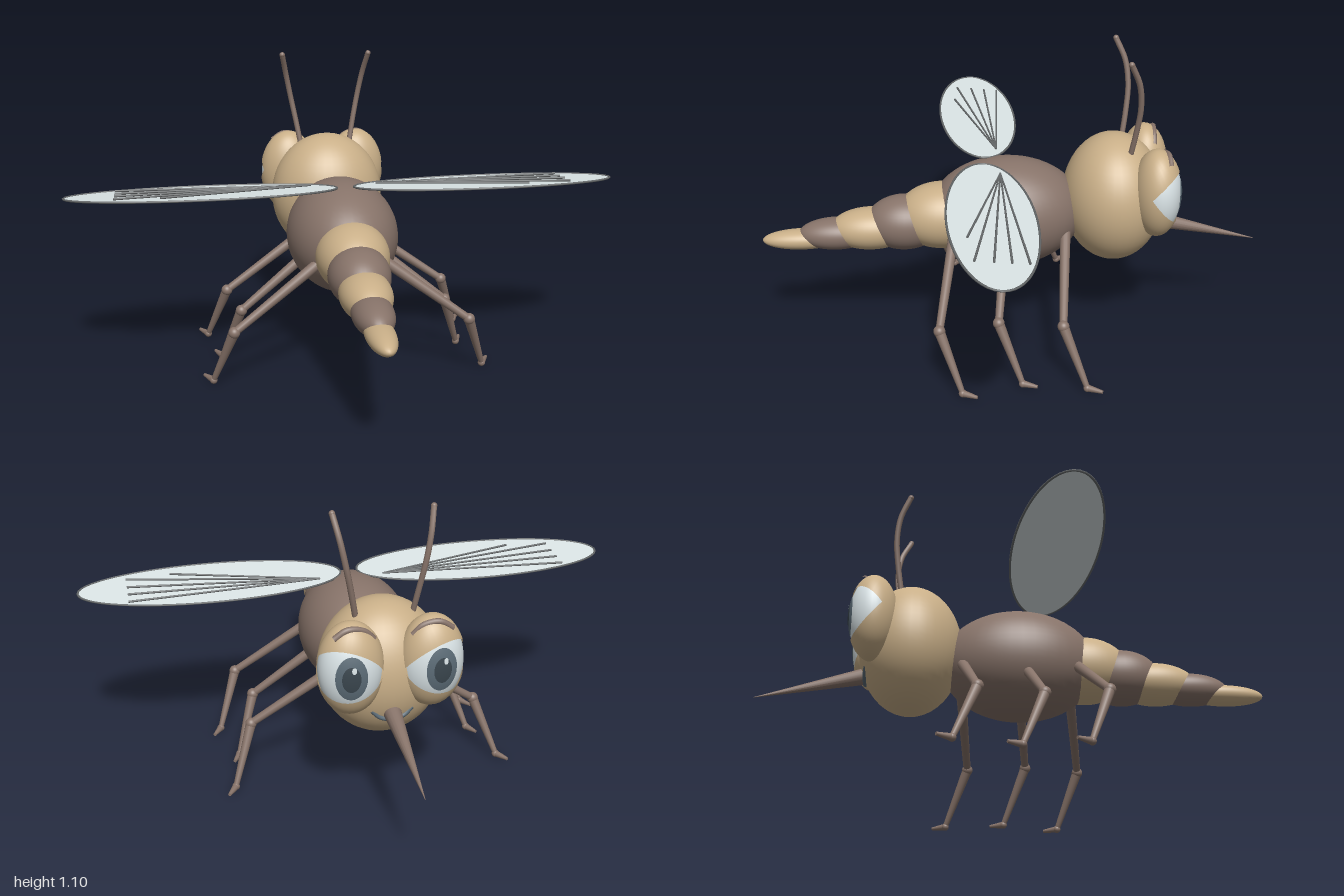
import * as THREE from 'three';

const paint = (name, color, side = THREE.FrontSide) => {
  const m = new THREE.MeshStandardMaterial({ color, side });
  m.name = name;
  return m;
};
const V = (x, y, z) => new THREE.Vector3(x, y, z);

export function createModel() {
  const root = new THREE.Group();
  root.name = 'insect';
  const brown = paint('brown', 0x877369);
  const tan = paint('tan', 0xc9af88);
  const lidTan = paint('lidTan', 0xc9af88, THREE.DoubleSide);
  const membrane = paint('wingGrey', 0xdde7e8, THREE.DoubleSide);
  const dark = paint('veinGrey', 0x66696a);
  const white = paint('eyeWhite', 0xdde7ea);
  const slate = paint('irisSlate', 0x5c6c77);
  const pupil = paint('pupilDark', 0x3a464e);

  const add = (name, geo, mat, parent = root) => {
    const m = new THREE.Mesh(geo, mat);
    m.name = name;
    parent.add(m);
    return m;
  };
  const ball = (name, c, r, mat, parent = root) =>
    add(name, new THREE.SphereGeometry(1, 40, 28).scale(...r).translate(...c), mat, parent);
  // tapered rod between two points
  const rod = (name, a, b, ra, rb, mat, parent = root) => {
    const d = b.clone().sub(a);
    const m = add(name, new THREE.CylinderGeometry(rb, ra, d.length(), 16), mat, parent);
    m.position.copy(a).addScaledVector(d, 0.5);
    m.quaternion.setFromUnitVectors(V(0, 1, 0), d.normalize());
    return m;
  };
  const tube = (name, pts, r, mat, parent = root) =>
    add(name, new THREE.TubeGeometry(new THREE.CatmullRomCurve3(pts), 24, r, 8), mat, parent);

  // body
  ball('thorax', [0, 0.492, 0.02], [0.205, 0.207, 0.288], brown);
  ball('head', [0, 0.54, -0.38], [0.22, 0.245, 0.19], tan);

  // abdomen: overlapping, shrinking segments [z, y, rx, ry, rz]
  [
    [0.26, 0.482, 0.131, 0.125, 0.172],
    [0.4, 0.458, 0.109, 0.104, 0.145],
    [0.525, 0.436, 0.09, 0.079, 0.155],
    [0.655, 0.419, 0.07, 0.06, 0.142],
    [0.78, 0.4, 0.049, 0.038, 0.15],
  ].forEach(([z, y, rx, ry, rz], i) =>
    ball('abdomenSegment' + (i + 1), [0, y, z], [rx, ry, rz], i % 2 ? brown : tan));

  // proboscis and mouth
  rod('proboscis', V(0, 0.445, -0.5), V(0, 0.34, -0.935), 0.034, 0.001, brown);
  tube('mouth', [V(-0.07, 0.445, -0.538), V(-0.04, 0.418, -0.542), V(0, 0.408, -0.542),
    V(0.04, 0.418, -0.542), V(0.07, 0.445, -0.538)], 0.008, slate);

  for (const s of [1, -1]) {
    const side = s > 0 ? 'left' : 'right';

    // eye: white ball, hinged lids, iris, pupil and glint shaped to its surface
    const eye = new THREE.Group();
    eye.name = side + 'Eye';
    eye.position.set(s * 0.138, 0.605, -0.518);
    root.add(eye);
    const R = [0.114, 0.165, 0.09];
    const grow = (k) => R.map((r) => r * k);
    ball('eyeball', [0, 0, 0], grow(0.965), white, eye);
    // half shells that open like jaws, hinged at the corners of the eye
    const lid = (name, start, open) => add(name,
      new THREE.SphereGeometry(1, 40, 20, 0, Math.PI * 2, start, Math.PI / 2)
        .rotateX(open).rotateZ(s * 0.08).rotateY(-s * 0.4).scale(...grow(1.005)), lidTan, eye);
    lid('upperLid', 0, 0.58);
    lid('lowerLid', Math.PI / 2, -0.6);
    const cap = (name, a, k, mat, pitch, yaw) => add(name,
      new THREE.SphereGeometry(1, 28, 8, 0, Math.PI * 2, 0, a)
        .rotateX(-Math.PI / 2 + pitch).rotateY(-yaw).scale(...grow(k)), mat, eye);
    cap('iris', 0.5, 0.985, slate, -0.02, s * 0.14);
    cap('pupil', 0.28, 1.0, pupil, -0.02, s * 0.14);
    cap('glint', 0.07, 1.02, white, 0.18, s * 0.14 - 0.08);

    // brow
    tube(side + 'Brow', [V(s * 0.065, 0.712, -0.542), V(s * 0.1, 0.745, -0.546),
      V(s * 0.155, 0.755, -0.552), V(s * 0.2, 0.728, -0.552)], 0.011, brown);

    // antenna
    const a = [V(s * 0.095, 0.72, -0.42), V(s * 0.115, 0.83, -0.437), V(s * 0.135, 0.93, -0.446),
      V(s * 0.153, 1.02, -0.435), V(s * 0.17, 1.1, -0.4)];
    tube(side + 'Antenna', a, 0.0105, brown);
    ball(side + 'AntennaTip', a[4].toArray(), [0.0105, 0.0105, 0.0105], brown);

    // legs: [hip, knee, ankle, toe]
    const legs = {
      Front: [V(0.11, 0.445, -0.19), V(0.425, 0.23, -0.15), V(0.5, 0.02, -0.23), V(0.53, 0.02, -0.28)],
      Middle: [V(0.11, 0.445, 0.03), V(0.385, 0.23, 0.075), V(0.455, 0.02, -0.005), V(0.48, 0.02, -0.055)],
      Rear: [V(0.11, 0.455, 0.22), V(0.425, 0.23, 0.285), V(0.5, 0.02, 0.21), V(0.53, 0.02, 0.16)],
    };
    for (const [name, pts] of Object.entries(legs)) {
      const leg = new THREE.Group();
      leg.name = side + name + 'Leg';
      root.add(leg);
      const [hip, knee, ankle, toe] = pts.map((p) => V(s * p.x, p.y, p.z));
      rod('thigh', hip, knee, 0.02, 0.014, brown, leg);
      ball('knee', knee.toArray(), [0.021, 0.021, 0.021], brown, leg);
      rod('shin', knee, ankle, 0.019, 0.01, brown, leg);
      ball('ankle', ankle.toArray(), [0.014, 0.014, 0.014], brown, leg);
      rod('foot', ankle, toe, 0.013, 0.006, brown, leg);
    }

    // wing: flat membrane, rim and fanned veins
    const wing = new THREE.Group();
    wing.name = side + 'Wing';
    wing.position.set(s * 0.513, 0.693, 0.103);
    wing.rotation.x = -0.1;
    root.add(wing);
    add('membrane', new THREE.CircleGeometry(1, 64).rotateX(-Math.PI / 2).scale(0.482, 1, 0.151),
      membrane, wing);
    const rim = [];
    for (let i = 0; i < 32; i++) {
      const t = (i / 32) * Math.PI * 2;
      rim.push(V(0.482 * Math.cos(t), 0, 0.151 * Math.sin(t)));
    }
    add('rim', new THREE.TubeGeometry(new THREE.CatmullRomCurve3(rim, true), 96, 0.004, 6, true), dark, wing);
    [[0.82, 0.005], [0.82, 0.06], [0.82, 0.115], [0.82, 0.175], [0.66, 0.19]].forEach(([x, z]) =>
      rod('vein', V(s * (0.12 - 0.513), 0.004, 0.05 - 0.103), V(s * (x - 0.513), 0.004, z - 0.103),
        0.003, 0.004, dark, wing));
  }
  return root;
}
